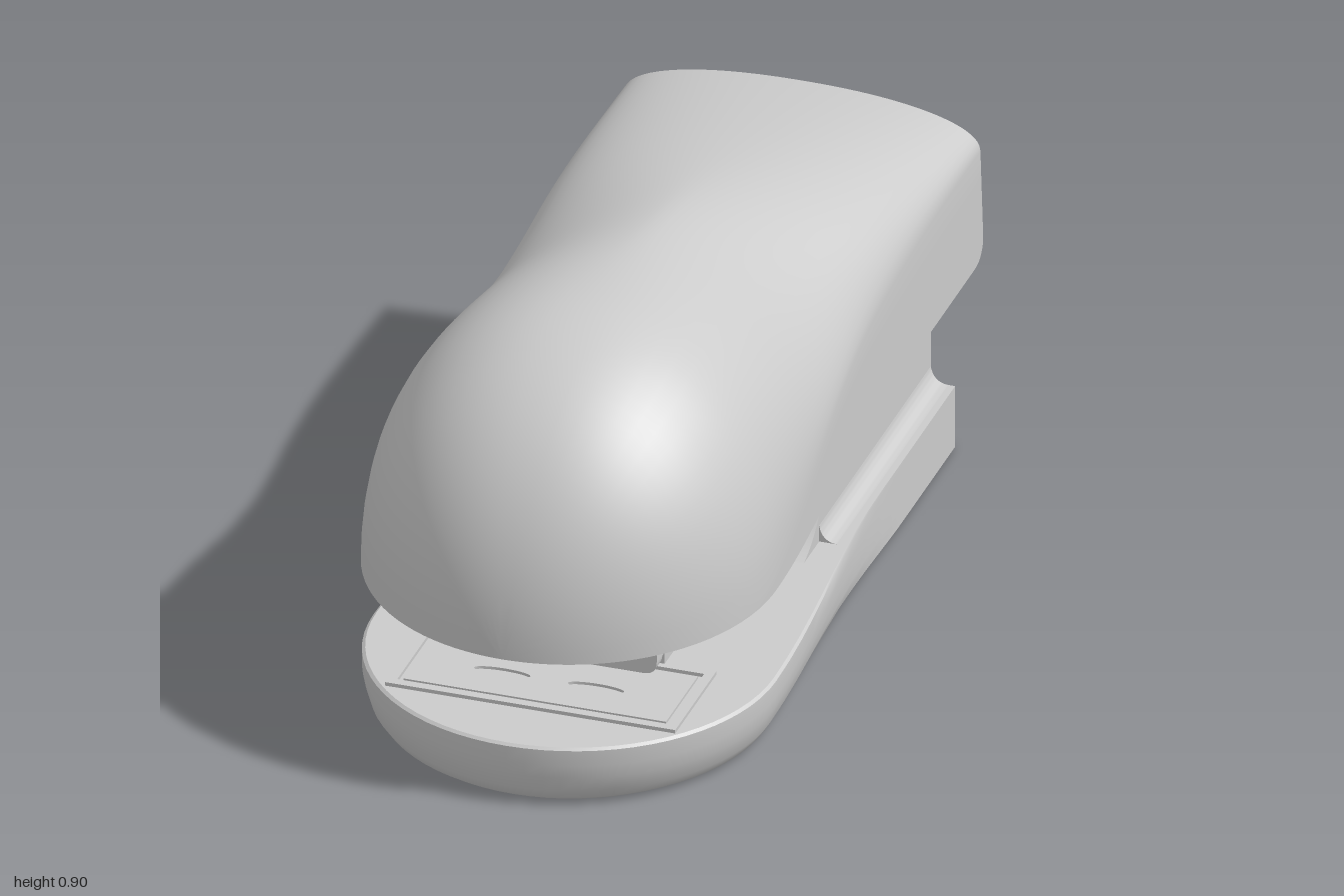
import * as THREE from 'three';
import { toCreasedNormals } from 'three/addons/utils/BufferGeometryUtils.js';

const material = new THREE.MeshStandardMaterial({ color: 0xcccccc });
const doubleSided = new THREE.MeshStandardMaterial({ color: 0xcccccc, side: THREE.DoubleSide });
const { smoothstep, clamp, lerp } = THREE.MathUtils;

function add(parent, name, geometry, mat = material) {
  const mesh = new THREE.Mesh(geometry, mat);
  mesh.name = name;
  parent.add(mesh);
}

// Box given by its limits on each axis
function box(parent, name, [x0, x1], [y0, y1], [z0, z1]) {
  const g = new THREE.BoxGeometry(x1 - x0, y1 - y0, z1 - z0);
  add(parent, name, g.translate((x0 + x1) / 2, (y0 + y1) / 2, (z0 + z1) / 2));
}

// Cylinder lying along x
function pin(parent, name, r, [x0, x1], y, z) {
  const g = new THREE.CylinderGeometry(r, r, x1 - x0, 32).rotateZ(Math.PI / 2);
  add(parent, name, g.translate((x0 + x1) / 2, y, z));
}

// Range of x on the left (s = 1) or mirrored to the right (s = -1)
const mirrored = (s, a, b) => (s > 0 ? [a, b] : [-b, -a]);

// Shape drawn in (z, y), extruded across x0..x1
function sideExtrude(shape, x0, x1) {
  const g = new THREE.ExtrudeGeometry(shape, { depth: x1 - x0, bevelEnabled: false, curveSegments: 16 });
  return toCreasedNormals(g.rotateY(-Math.PI / 2).translate(x1, 0, 0), 0.6);
}

// Shape drawn in (x, z), extruded over y0..y1
function planExtrude(shape, y0, y1) {
  const g = new THREE.ExtrudeGeometry(shape, { depth: y1 - y0, bevelEnabled: false, curveSegments: 20 });
  return toCreasedNormals(g.rotateX(Math.PI / 2).translate(0, y1, 0), 0.6);
}

// Skin over closed rings of equal point count
function loft(rings, crease, capFirst = false) {
  const n = rings[0].length, index = [];
  for (let i = 0; i < rings.length - 1; i++) {
    for (let j = 0; j < n; j++) {
      const a = i * n + j, b = i * n + ((j + 1) % n);
      index.push(a, b, b + n, a, b + n, a + n);
    }
  }
  // Band joining the outer and inner half of the first ring
  if (capFirst) {
    for (let j = 0; j < n / 2 - 1; j++) {
      const p = n - 1 - j;
      index.push(j, p, p - 1, j, p - 1, j + 1);
    }
  }
  const g = new THREE.BufferGeometry();
  g.setAttribute('position', new THREE.Float32BufferAttribute(rings.flat(2), 3));
  g.setIndex(index);
  return toCreasedNormals(g, crease);
}

// Half width of the plan outline, elliptical at the front
function halfWidth(z, tip) {
  if (z > 0.55) return 0.43 * Math.sqrt(Math.max(0, 1 - ((z - 0.55) / (tip - 0.55)) ** 2));
  return lerp(0.38, 0.43, smoothstep(z, -0.25, 0.55));
}

// Height of the lid ridge
function ridge(z) {
  if (z > 0.48) return 0.345 + 0.555 * Math.max(0, 1 - ((z - 0.48) / 0.52) ** 2.1) ** (1 / 2.1);
  return 0.9 - 0.2 * ((0.48 - z) / 1.35) ** 1.35;
}

// One ring of the lid shell: outer arch, then inner arch backwards
function lidRing(z) {
  const w = halfWidth(z, 1), top = ridge(z), d = Math.max(0, -z - 0.82);
  const bottom = 0.395 - Math.sqrt(Math.max(0, 0.0025 - d * d));
  const crease = 0.345 + 0.255 * (1 - clamp((z + 0.8) / 1.45, 0, 1) ** 2.2);
  const yc = Math.min(crease, lerp(0.345, top, 0.8));
  const n = 2.2 - 0.55 * Math.exp(-((z / 0.35) ** 2));
  const half = [];
  for (let j = 0; j < 4; j++) half.push([w, lerp(bottom, yc, j / 4)]);
  for (let j = 0; j <= 16; j++) {
    const a = (j / 16) * Math.PI / 2;
    const c = j === 16 ? 0 : Math.cos(a);
    half.push([w * c ** (2 / n), yc + (top - yc) * Math.sin(a) ** (2 / n)]);
  }
  const arch = [...half, ...half.slice(0, -1).reverse().map(([x, y]) => [-x, y])];
  const slant = 0.03 * clamp((-z - 0.5) / 0.37, 0, 1);
  const outer = arch.map(([x, y]) => [x, y, z - slant * (1 - (y - 0.345) / 0.355)]);
  const inner = outer.map(([x, y, q]) => [x * 0.9, 0.345 + (y - 0.345) * 0.92, q > 0 ? q * 0.96 : q]);
  return [...outer, ...inner.reverse()];
}

// Plan outline of the base: d insets all round, soft only towards the front
function baseOutline(d, soft) {
  const half = [];
  for (let i = 0; i <= 18; i++) half.push(0.55 + 0.43 * Math.cos((i / 18) * Math.PI / 2));
  for (let i = 1; i <= 14; i++) half.push(lerp(0.55, -0.72, i / 14));
  const pts = half.map((z) => {
    const inset = d + soft * smoothstep(z, -0.4, 0.5);
    return [halfWidth(z, 0.98) * (1 - inset / 0.43), z > 0 ? z * (1 - inset / 0.98) : z * (1 - d / 0.72)];
  });
  return [...pts, ...pts.slice(1).reverse().map(([x, z]) => [-x, z])];
}

const polygon = (Type, points) => new Type(points.map(([x, z]) => new THREE.Vector2(x, z)));
const corners = (x, z, w, d) => [[x - w, z - d], [x + w, z - d], [x + w, z + d], [x - w, z + d]];

function buildBase(group) {
  // Hull with a groove underneath; levels are [inset, soft inset, y]
  const levels = [[0.06, 0.045, 0.04], [0.018, 0.045, 0.04], [0.018, 0.045, 0], [0, 0.045, 0], [0, 0.028, 0.012],
    [0, 0.014, 0.035], [0, 0.005, 0.07], [0, 0, 0.1], [0, 0, 0.135], [0, 0.006, 0.14]];
  const rings = levels.map(([d, soft, y]) => baseOutline(d, soft).map(([x, z]) => [x, y, z]));
  add(group, 'baseHull', loft(rings, 0.6));
  const top = new THREE.ShapeGeometry(polygon(THREE.Shape, baseOutline(0, 0.006)));
  add(group, 'baseTop', top.rotateX(Math.PI / 2).translate(0, 0.14, 0), doubleSided);

  // Underside panel with a round hole and two slots
  const panel = polygon(THREE.Shape, baseOutline(0.04, 0.045));
  panel.holes.push(new THREE.Path().absarc(0, -0.2, 0.09, 0, Math.PI * 2));
  for (const x of [-0.2, 0.2]) panel.holes.push(polygon(THREE.Path, corners(x, -0.42, 0.03, 0.05)));
  add(group, 'undersidePanel', planExtrude(panel, 0.006, 0.1));
  for (const z of [-0.55, -0.3, -0.05, 0.2, 0.45]) {
    const x = halfWidth(z, 0.98) - 0.045 * smoothstep(z, -0.4, 0.5);
    for (const s of [-1, 1]) box(group, 'panelTab', mirrored(s, x - 0.05, x - 0.01), [0.002, 0.05], [z - 0.02, z + 0.02]);
  }

  // Anvil plate with a raised frame and two staple grooves
  const frame = polygon(THREE.Shape, corners(0, 0.7, 0.31, 0.13));
  frame.holes.push(polygon(THREE.Path, corners(0, 0.7, 0.29, 0.11)));
  add(group, 'anvilFrame', planExtrude(frame, 0.135, 0.148));
  const plate = polygon(THREE.Shape, corners(0, 0.7, 0.28, 0.1));
  for (const x of [-0.1, 0.1]) plate.holes.push(new THREE.Path().absellipse(x, 0.71, 0.06, 0.015, 0, Math.PI * 2));
  add(group, 'anvilPlate', planExtrude(plate, 0.135, 0.146));

  // Curved leaf spring and the bridge between the pillars
  const leaf = new THREE.Shape();
  leaf.moveTo(0.42, 0.13);
  leaf.quadraticCurveTo(0.25, 0.15, 0.05, 0.185);
  leaf.lineTo(-0.1, 0.185);
  leaf.lineTo(-0.1, 0.13);
  add(group, 'leafSpring', sideExtrude(leaf, -0.235, 0.235));
  box(group, 'pillarBridge', [-0.25, 0.25], [0.13, 0.185], [-0.68, -0.1]);

  // Wedge tongue at the back
  const tongue = new THREE.Shape();
  tongue.moveTo(-0.12, -0.71);
  tongue.lineTo(-0.055, -0.95);
  tongue.bezierCurveTo(-0.04, -1.017, 0.04, -1.017, 0.055, -0.95);
  tongue.lineTo(0.12, -0.71);
  const wedge = planExtrude(tongue, 0, 1), p = wedge.attributes.position;
  for (let i = 0; i < p.count; i++) if (p.getY(i) > 0.5) p.setY(i, 0.004 + 0.235 * (p.getZ(i) + 1));
  add(group, 'rearTongue', toCreasedNormals(wedge, 0.5));
}

function buildPillars(group) {
  // Side wall sweeping up from the base and back to the hinge
  const wall = new THREE.Shape();
  wall.moveTo(0.1, 0.135);
  wall.bezierCurveTo(0, 0.15, -0.04, 0.22, -0.13, 0.345);
  wall.lineTo(-0.15, 0.37);
  wall.lineTo(-0.6, 0.37);
  wall.quadraticCurveTo(-0.68, 0.38, -0.72, 0.46);
  wall.lineTo(-0.81, 0.36);
  wall.bezierCurveTo(-0.75, 0.34, -0.72, 0.3, -0.72, 0.25);
  wall.lineTo(-0.72, 0.135);
  // Fillet along the foot of the wall, drawn in (x, y)
  const fillet = new THREE.Shape();
  fillet.moveTo(0.32, 0.135);
  fillet.lineTo(0.365, 0.14);
  fillet.quadraticCurveTo(0.33, 0.142, 0.327, 0.185);
  fillet.lineTo(0.32, 0.185);
  for (const s of [-1, 1]) {
    add(group, 'pillar', sideExtrude(wall, ...mirrored(s, 0.24, 0.328)));
    const foot = new THREE.ExtrudeGeometry(fillet, { depth: 0.7, bevelEnabled: false }).translate(0, 0, -0.72);
    if (s < 0) foot.rotateY(Math.PI).translate(0, 0, -0.74);
    add(group, 'pillarFillet', toCreasedNormals(foot, 0.6));
    pin(group, 'hingeKnuckle', 0.08, mirrored(s, 0.235, 0.32), 0.43, -0.78);
    pin(group, 'hingeBoss', 0.055, mirrored(s, 0.22, 0.35), 0.43, -0.78);
  }
}

function buildMagazine(group) {
  // Open channel with a split front plate
  box(group, 'magazineFloor', [-0.23, 0.23], [0.215, 0.238], [-0.66, 0.69]);
  for (const s of [-1, 1]) {
    box(group, 'magazineWall', mirrored(s, 0.222, 0.24), [0.215, 0.43], [-0.68, 0.69]);
    const front = new THREE.Shape();
    front.moveTo(s * 0.062, 0.215);
    front.lineTo(s * 0.21, 0.215);
    front.quadraticCurveTo(s * 0.24, 0.215, s * 0.24, 0.245);
    front.lineTo(s * 0.24, 0.45);
    front.lineTo(s * 0.062, 0.45);
    add(group, 'frontPlate', new THREE.ExtrudeGeometry(front, { depth: 0.035, bevelEnabled: false }).translate(0, 0, 0.705));
    box(group, 'frontPlateLink', mirrored(s, 0.222, 0.239), [0.24, 0.425], [0.68, 0.72]);
    pin(group, 'sidePin', 0.05, mirrored(s, 0.23, 0.255), 0.31, 0.58);
  }
  // Pusher, driver arm and striker
  box(group, 'pusherRail', [-0.06, 0.06], [0.28, 0.302], [-0.3, 0.66]);
  box(group, 'pusherTab', [-0.022, 0.022], [0.26, 0.285], [0.6, 0.68]);
  box(group, 'pusherBlock', [-0.2, 0.2], [0.3, 0.42], [0.1, 0.2]);
  box(group, 'driverArm', [-0.22, 0.22], [0.43, 0.455], [-0.35, 0.74]);
  box(group, 'striker', [-0.04, 0.04], [0.31, 0.44], [0.66, 0.7]);
}

export function createModel() {
  const root = new THREE.Group();
  root.name = 'stapler';
  const group = (name) => {
    const g = new THREE.Group();
    g.name = name;
    root.add(g);
    return g;
  };

  // Lid rings run from the back to the nose, closer together at both ends
  const rings = [];
  for (let i = 0; i <= 72; i++) rings.push(lidRing(0.065 - 0.935 * Math.cos((i / 72) * Math.PI)));
  add(root, 'lid', loft(rings, 0.65, true), doubleSided);

  buildBase(group('base'));
  buildPillars(group('pillars'));
  buildMagazine(group('magazine'));
  return root;
}
